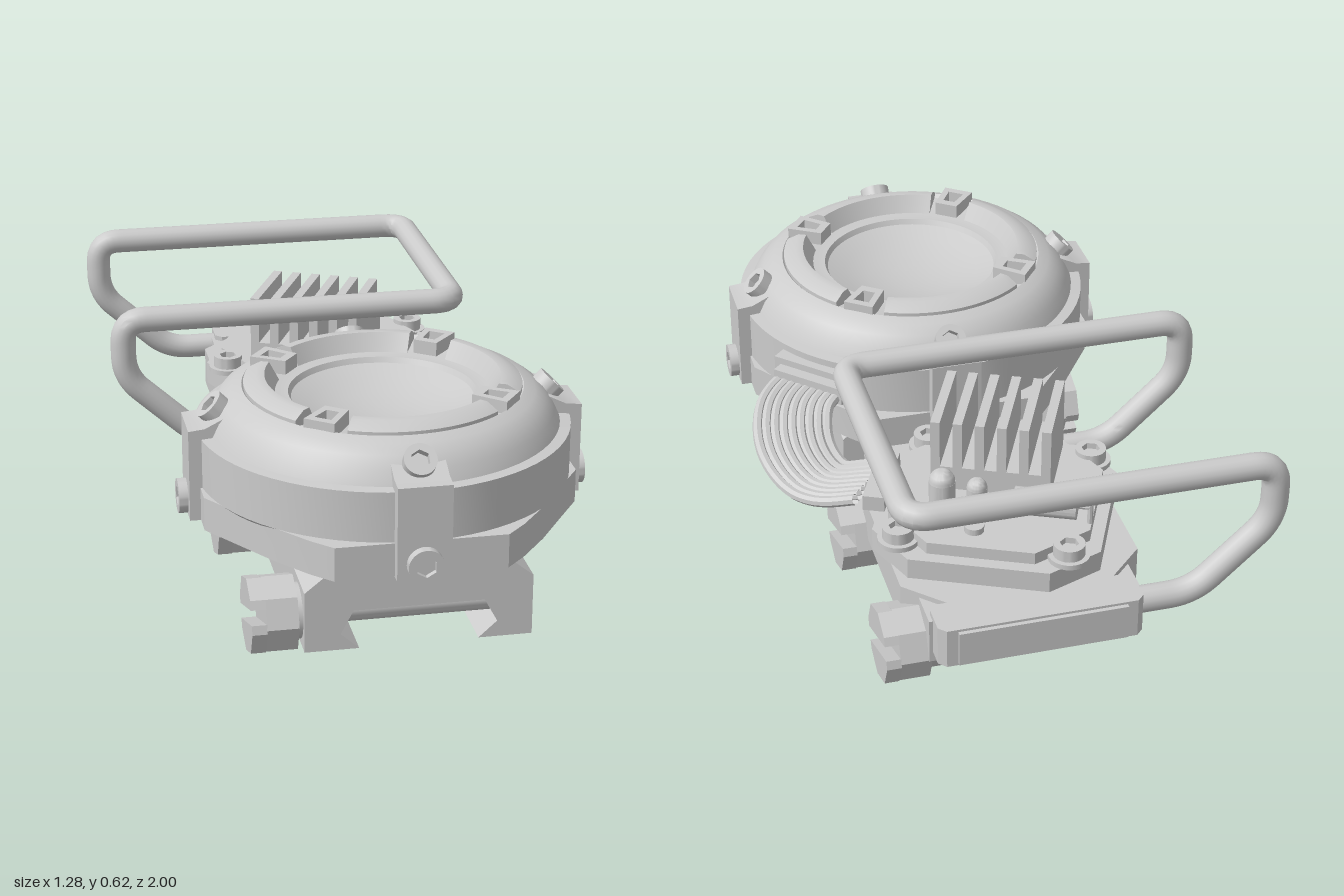
import * as THREE from 'three';
import { toCreasedNormals } from 'three/addons/utils/BufferGeometryUtils.js';

const CX = 0.045, DOME_Z = 0.43, REAR_Z = -0.535;
const material = new THREE.MeshStandardMaterial({ color: 0xcccccc, side: THREE.DoubleSide });

function add(parent, name, geometry, x = 0, y = 0, z = 0) {
  const mesh = new THREE.Mesh(toCreasedNormals(geometry, 0.5), material);
  mesh.name = name;
  mesh.position.set(x, y, z);
  parent.add(mesh);
  return mesh;
}
function group(parent, name, x = 0, y = 0, z = 0) {
  const g = new THREE.Group();
  g.name = name;
  g.position.set(x, y, z);
  parent.add(g);
  return g;
}
const box = (w, h, d) => new THREE.BoxGeometry(w, h, d);
const cyl = (r, h, n = 24) => new THREE.CylinderGeometry(r, r, h, n);
const shapeOf = pts => new THREE.Shape(pts.map(p => new THREE.Vector2(...p)));
const extrude = (shape, depth) => new THREE.ExtrudeGeometry(shape, { depth, bevelEnabled: false, curveSegments: 20 });

// Flat plate mirrored from the outline of one quadrant, underside at y = 0
function plate(quadrant, h) {
  const back = [...quadrant].reverse();
  const outline = [...quadrant, ...back.map(([x, z]) => [-x, z]), ...quadrant.map(([x, z]) => [-x, -z]), ...back.map(([x, z]) => [x, -z])];
  return extrude(shapeOf(outline), h).rotateX(-Math.PI / 2);
}
const cutPlate = (w, d, c, h) => plate([[w, d - c], [w - c, d]], h);

// Round screw head with a hexagonal socket, standing on y = 0
function screw(parent, name, r, h, x, y, z) {
  const g = group(parent, name, x, y, z);
  add(g, 'screwCore', cyl(r * 0.95, h * 0.5, 20), 0, h * 0.25, 0);
  const head = new THREE.Shape().absarc(0, 0, r, 0, Math.PI * 2);
  const socket = [];
  for (let i = 0; i < 6; i++) socket.push(new THREE.Vector2(Math.cos(i * Math.PI / 3), Math.sin(i * Math.PI / 3)).multiplyScalar(r * 0.6));
  head.holes.push(new THREE.Path(socket));
  add(g, 'screwHead', extrude(head, h).rotateX(-Math.PI / 2));
  return g;
}

// Faceted clamp nut with a slotted end, pointing away from the mount
function clampNut(parent, x, z, side) {
  const g = group(parent, 'clampNut', x, 0.11, z);
  g.rotation.y = side > 0 ? 0 : Math.PI;
  add(g, 'nutBody', cyl(0.106, 0.085, 8).rotateZ(-Math.PI / 2), 0.0525, 0, 0);
  const slot = group(g, 'nutSlot', 0.094, 0, 0);
  slot.rotation.x = 0.35;
  for (const s of [1, -1]) {
    const jaw = shapeOf([[-0.1, 0.02 * s], [0.1, 0.02 * s], [0.098, 0.045 * s], [0.045, 0.098 * s], [-0.045, 0.098 * s], [-0.098, 0.045 * s]]);
    add(slot, 'nutJaw', extrude(jaw, 0.04).rotateY(Math.PI / 2));
  }
  add(g, 'nutWasher', cyl(0.075, 0.03).rotateZ(Math.PI / 2));
}

function buildDome(root) {
  const unit = group(root, 'domeUnit', CX, 0, DOME_Z);

  // Rail mount with dovetail groove
  const right = [[0.175, 0.14], [0.21, 0.075], [0.16, 0.03], [0.305, 0.03], [0.305, 0.2], [0.255, 0.24]];
  const outline = [...right, ...right.map(([x, y]) => [-x, y]).reverse()];
  add(unit, 'railMount', extrude(shapeOf(outline), 0.88), 0, 0, -0.39);
  for (const z of [0.4, -0.21]) {
    add(unit, 'clampRod', cyl(0.04, 0.6).rotateZ(Math.PI / 2), 0, 0.11, z);
    add(unit, 'rodEnd', cyl(0.045, 0.02).rotateZ(Math.PI / 2), 0.308, 0.11, z);
    clampNut(unit, -0.31, z, -1);
  }

  // Faceted foot, drum, rounded shoulder and hollow dish
  add(unit, 'foot', plate([[0.515, 0.14], [0.46, 0.22], [0.365, 0.36], [0.285, 0.46], [0.23, 0.515]], 0.095), 0, 0.24, 0);
  const profile = [[0, 0.325], [0.505, 0.325], [0.515, 0.335], [0.515, 0.475], [0.485, 0.478], [0.468, 0.515], [0.443, 0.547],
    [0.415, 0.567], [0.385, 0.578], [0.375, 0.568], [0.285, 0.553], [0.258, 0.553], [0.25, 0.538],
    [0.2, 0.518], [0.13, 0.496], [0.06, 0.487], [0, 0.484]];
  add(unit, 'domeShell', new THREE.LatheGeometry(profile.map(p => new THREE.Vector2(...p)), 72));

  // Raised rim segments, closed at both ends, between the latches
  const rimProfile = [[0.288, 0.545], [0.322, 0.604], [0.345, 0.604], [0.38, 0.585], [0.38, 0.55]];
  const rimCurve = rimProfile.map(p => new THREE.Vector2(...p));
  for (let i = 0; i < 4; i++) {
    const a = (37 + 90 * i) * Math.PI / 180;
    add(unit, 'rimSegment', new THREE.LatheGeometry(rimCurve, 20, Math.PI / 2 - a + 0.2, Math.PI / 2 - 0.4));
    for (const end of [-0.2, 0.2]) add(unit, 'rimEnd', new THREE.ShapeGeometry(shapeOf(rimProfile))).rotation.y = end - a;

    // Latch frame on the rim
    const latch = group(unit, 'rimLatch', Math.cos(a) * 0.335, 0.562, Math.sin(a) * 0.335);
    latch.rotation.y = -a;
    const frame = shapeOf([[-0.055, -0.035], [0.05, -0.045], [0.05, 0.045], [-0.055, 0.035]]);
    frame.holes.push(new THREE.Path([[-0.03, -0.018], [-0.03, 0.018], [0.028, 0.024], [0.028, -0.024]].map(p => new THREE.Vector2(...p))));
    add(latch, 'latchFrame', extrude(frame, 0.04).rotateX(-Math.PI / 2));

    // Side bracket with its two screws
    const bracket = group(unit, 'sideBracket');
    bracket.rotation.y = i * Math.PI / 2;
    const side = shapeOf([[0.4, 0.24], [0.545, 0.24], [0.545, 0.5], [0.5, 0.505], [0.45, 0.53], [0.4, 0.53]]);
    add(bracket, 'bracketBody', extrude(side, 0.145), 0, 0, -0.0725);
    screw(bracket, 'lowerScrew', 0.048, 0.03, 0.54, 0.285, 0).rotation.z = -Math.PI / 2;
    screw(bracket, 'upperScrew', 0.044, 0.045, 0.448, 0.518, 0).rotation.z = -Math.PI / 4;
  }

  // Cable socket on the drum
  const socket = group(unit, 'cableSocket', 0.355, 0.41, -0.355);
  socket.rotation.y = Math.PI / 4;
  add(socket, 'socketBody', box(0.08, 0.09, 0.27));
  add(socket, 'socketLip', box(0.05, 0.05, 0.23), 0.05, 0, 0);
}

function buildRear(root) {
  const unit = group(root, 'circuitUnit');

  // Arched cheeks, deck and end bars holding the handle
  const cheek = shapeOf([[0.18, 0.24], [0.18, 0.11], [0.23, 0.05], [0.42, 0.05], [0.45, 0.095], [0.49, 0.125], [0.53, 0.14],
    [0.59, 0.14], [0.63, 0.125], [0.67, 0.095], [0.7, 0.05], [0.87, 0.05], [0.92, 0.11], [0.92, 0.24]]);
  for (const s of [-1, 1]) {
    add(unit, 'cheek', extrude(cheek, 0.13).rotateY(Math.PI / 2), CX + s * 0.225 - 0.065, 0, 0);
    add(unit, 'endBar', cutPlate(0.28, 0.06, 0.02, 0.115), CX, 0.14, -0.55 - s * 0.38);
    add(unit, 'barCap', box(0.46, 0.1, 0.02), CX, 0.198, -0.55 - s * 0.442);
    clampNut(unit, 0.315, -0.55 - s * 0.26, 1);
  }
  add(unit, 'deck', cutPlate(0.33, 0.37, 0.15, 0.115), CX, 0.14, -0.55);
  add(unit, 'unitLink', box(0.1, 0.08, 0.08), CX, 0.27, -0.1);

  // Turned board with electronic parts
  const board = group(unit, 'board', CX, 0, REAR_Z);
  board.rotation.y = -0.43;
  add(board, 'basePlate', cutPlate(0.31, 0.31, 0.12, 0.065), 0, 0.25, 0);
  add(board, 'circuitBoard', cutPlate(0.275, 0.275, 0.13, 0.035), 0, 0.315, 0);
  for (const x of [-0.23, 0.23]) for (const z of [-0.23, 0.23]) {
    add(board, 'washer', cyl(0.057, 0.015), x, 0.322, z);
    screw(board, 'boardScrew', 0.043, 0.035, x, 0.328, z);
  }

  add(board, 'heatSinkBase', box(0.33, 0.07, 0.27), 0.016, 0.385, 0.12);
  for (let i = 0; i < 6; i++) add(board, 'heatSinkFin', box(0.026, 0.15, 0.27), 0.016 + (i - 2.5) * 0.0608, 0.485, 0.12);

  add(board, 'resistor', cyl(0.038, 0.17).rotateZ(Math.PI / 2), -0.15, 0.4, -0.11);
  add(board, 'resistorLead', cyl(0.008, 0.24, 8).rotateZ(Math.PI / 2), -0.15, 0.4, -0.11);
  for (const x of [-0.27, -0.03]) add(board, 'leadLeg', cyl(0.008, 0.06, 8), x, 0.378, -0.11);
  add(board, 'disc', cyl(0.027, 0.02), 0.03, 0.358, -0.197);
  for (const [x, z, r, h] of [[0.04, -0.09, 0.028, 0.07], [0.133, -0.105, 0.036, 0.09]]) {
    add(board, 'capacitor', cyl(r, h), x, 0.345 + h / 2, z);
    add(board, 'capacitorTop', new THREE.SphereGeometry(r, 20, 8, 0, Math.PI * 2, 0, Math.PI / 2), x, 0.345 + h, z);
  }
}

// Bent tube with rounded corners
function buildHandle(root) {
  const half = [[0.3, 0.21], [-0.385, 0.21], [-0.602, 0.41], [-0.602, 0.583], [0.39, 0.583]];
  const corners = [...half.map(p => new THREE.Vector3(...p, -0.93)), ...half.map(p => new THREE.Vector3(...p, -0.175)).reverse()];
  const path = new THREE.CurvePath();
  let from = corners[0];
  for (let i = 1; i < corners.length - 1; i++) {
    const c = corners[i];
    const toward = n => c.clone().add(n.clone().sub(c).setLength(0.065));
    const start = toward(corners[i - 1]), end = toward(corners[i + 1]);
    path.add(new THREE.LineCurve3(from, start));
    path.add(new THREE.QuadraticBezierCurve3(start, c, end));
    from = end;
  }
  path.add(new THREE.LineCurve3(from, corners[corners.length - 1]));
  add(root, 'handle', new THREE.TubeGeometry(path, 300, 0.037, 16));
}

// Flat cable of parallel strands
function buildCable(root) {
  const cable = group(root, 'ribbonCable');
  const middle = new THREE.CatmullRomCurve3([[0.41, 0.41, 0.07], [0.5, 0.385, -0.025], [0.525, 0.325, -0.15], [0.48, 0.29, -0.28], [0.36, 0.335, -0.385]]
    .map(p => new THREE.Vector3(...p)));
  for (let s = -4; s <= 4; s++) {
    const pts = [];
    for (let i = 0; i <= 16; i++) {
      const t = middle.getTangent(i / 16);
      const sideways = new THREE.Vector3(-t.z, 0, t.x).normalize();
      pts.push(middle.getPoint(i / 16).addScaledVector(sideways, s * 0.0245));
    }
    add(cable, 'strand', new THREE.TubeGeometry(new THREE.CatmullRomCurve3(pts), 40, 0.0155, 8));
  }
  add(cable, 'cablePlug', box(0.06, 0.045, 0.23), 0.335, 0.34, -0.395).rotation.y = -0.43;
}

export function createModel() {
  const model = new THREE.Group();
  model.name = 'mountedDevice';
  buildDome(model);
  buildRear(model);
  buildHandle(model);
  buildCable(model);
  return model;
}
